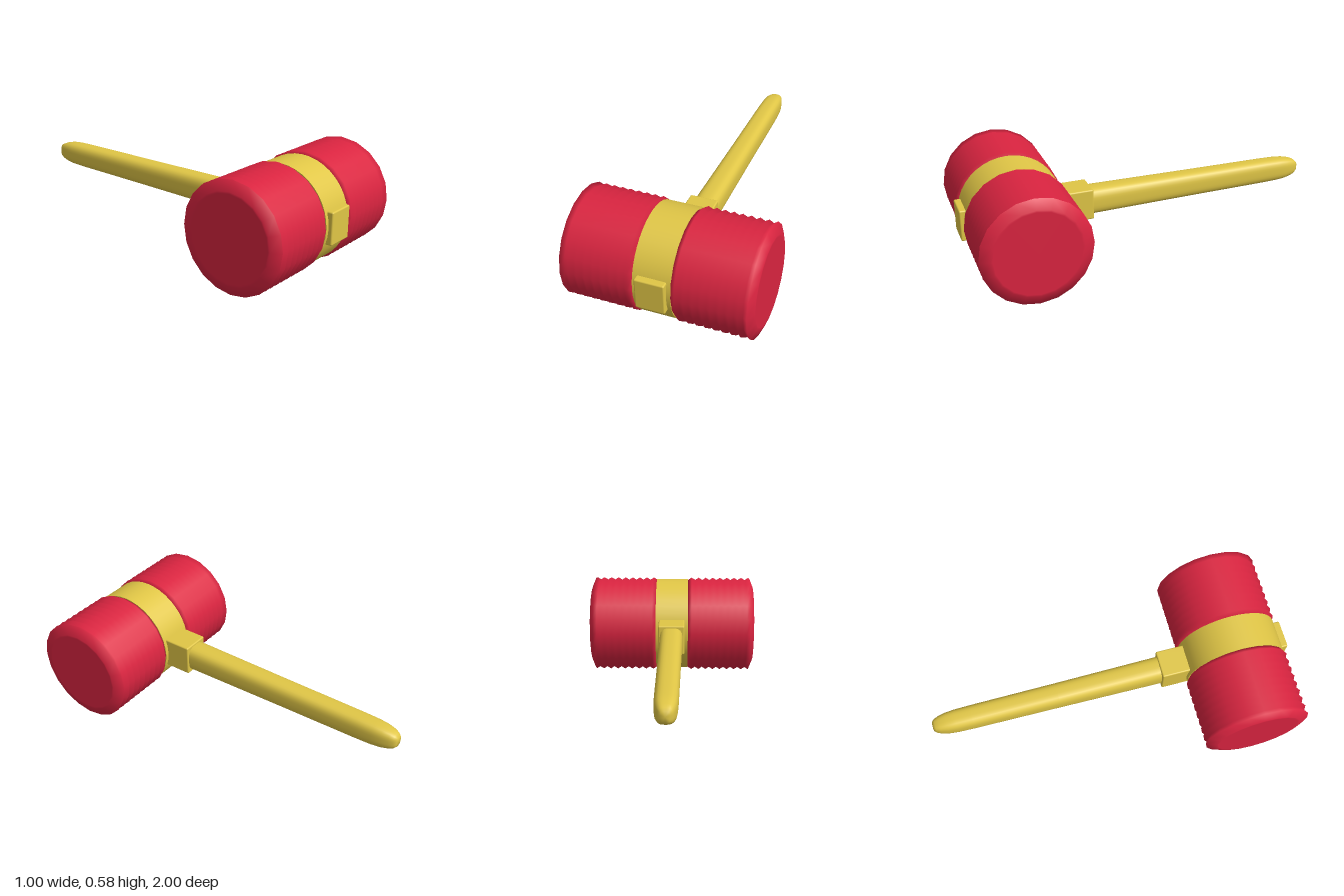
import * as THREE from 'three';
import { mergeVertices } from 'three/addons/utils/BufferGeometryUtils.js';
import { RoundedBoxGeometry } from 'three/addons/geometries/RoundedBoxGeometry.js';

const AXIS_Y = 0.293, HEAD_Z = 0.7;

export function createModel() {
  const red = new THREE.MeshStandardMaterial({ color: 0xda2440 });
  red.name = 'red plastic';
  const yellow = new THREE.MeshStandardMaterial({ color: 0xe0c646 });
  yellow.name = 'yellow plastic';

  const model = new THREE.Group();
  model.name = 'toyHammer';
  const add = (name, geometry, material, z) => {
    const mesh = new THREE.Mesh(geometry, material);
    mesh.name = name;
    mesh.position.set(0, AXIS_Y, z);
    model.add(mesh);
    return mesh;
  };

  // Pleated bellows on each end of the head, closed by a bevelled striking face
  const profile = [new THREE.Vector2(0.2, 0.0975)];
  const ridges = 9, pitch = 0.0447;
  for (let i = 0; i < ridges; i++) {
    const x = 0.0975 + i * pitch;
    profile.push(new THREE.Vector2(0.276, x), new THREE.Vector2(0.29, x + pitch / 2));
  }
  profile.push(new THREE.Vector2(0.236, 0.5), new THREE.Vector2(0.225, 0.5), new THREE.Vector2(0, 0.5));
  const bellows = new THREE.LatheGeometry(profile, 20);
  bellows.rotateZ(-Math.PI / 2);
  add('leftBellows', bellows, red, HEAD_Z);
  add('rightBellows', bellows, red, HEAD_Z).rotation.y = Math.PI;

  // Smooth band around the middle of the head
  const band = new THREE.CylinderGeometry(0.279, 0.279, 0.195, 40);
  band.rotateZ(Math.PI / 2);
  add('centreBand', band, yellow, HEAD_Z);

  // Socket block passing through the head: front plate and rear collar
  add('handleSocket', new RoundedBoxGeometry(0.155, 0.173, 0.72, 2, 0.008), yellow, 0.64);

  // Tapered handle: a lathe squared off into a soft rectangle, slightly taller than wide
  const handleProfile = [
    [0.067, -0.32], [0.067, -0.26], [0.062, 0.3], [0.059, 0.78], [0.057, 0.87],
    [0.053, 0.92], [0.045, 0.96], [0.036, 0.985], [0.024, 1], [0, 1],
  ].map(([r, y]) => new THREE.Vector2(r, y));
  let handle = new THREE.LatheGeometry(handleProfile, 32);
  const pos = handle.attributes.position;
  for (let i = 0; i < pos.count; i++) {
    const x = pos.getX(i), z = pos.getZ(i), r = Math.hypot(x, z);
    if (r < 1e-6) continue;
    const k = 1 / Math.pow(Math.abs(x / r) ** 3.2 + Math.abs(z / r) ** 3.2, 1 / 3.2);
    pos.setX(i, x * k);
    pos.setZ(i, z * k * 1.12);
  }
  handle.deleteAttribute('uv');
  handle.deleteAttribute('normal');
  handle = mergeVertices(handle, 1e-5);
  handle.computeVertexNormals();
  handle.rotateX(-Math.PI / 2);
  add('handle', handle, yellow, 0);

  return model;
}
